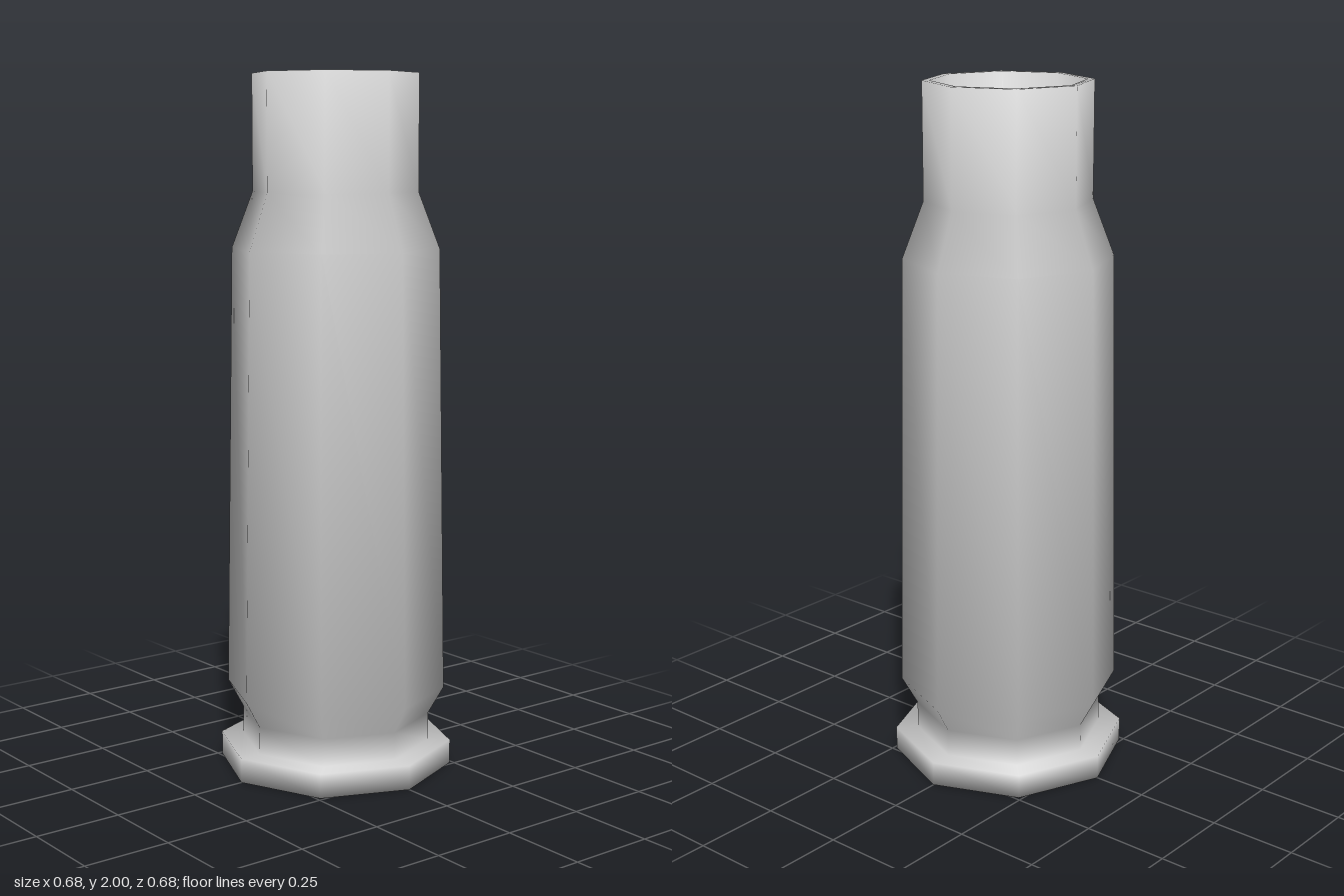
import * as THREE from 'three';

const SIDES = 8;

// Casing outline [radius, height]: base rim, groove, body, shoulder, neck, lip, bore
const PROFILE = [
  [0.34, 0], [0.34, 0.07], [0.275, 0.07], [0.275, 0.15], [0.32, 0.23],
  [0.298, 1.51], [0.237, 1.67], [0.237, 2], [0.217, 2], [0.217, 0.15],
].map(([r, y]) => new THREE.Vector2(r, y));

// Smooth normal of a ring, halfway between its two neighbouring bands
function ringNormal(i) {
  const p = PROFILE[i];
  const before = PROFILE[i - 1] ?? new THREE.Vector2(0, p.y);
  const after = PROFILE[i + 1] ?? new THREE.Vector2(0, p.y);
  const t = p.clone().sub(before).normalize().add(after.clone().sub(p).normalize()).normalize();
  return new THREE.Vector2(t.y, -t.x);
}

function casingGeometry() {
  const positions = [], normals = [], index = [];
  PROFILE.forEach((p, ring) => {
    const n = ringNormal(ring);
    for (let s = 0; s < SIDES; s++) {
      const a = (s / SIDES) * Math.PI * 2;
      const c = Math.cos(a), d = Math.sin(a);
      positions.push(p.x * c, p.y, p.x * d);
      normals.push(n.x * c, n.y, n.x * d);
    }
  });

  // Bands between rings
  const last = (PROFILE.length - 1) * SIDES;
  for (let base = 0; base < last; base += SIDES) {
    for (let s = 0; s < SIDES; s++) {
      const a = base + s, b = base + (s + 1) % SIDES;
      index.push(a, a + SIDES, b + SIDES, a, b + SIDES, b);
    }
  }

  // Flat underside and the floor of the bore
  for (let s = 1; s < SIDES - 1; s++) {
    index.push(0, s, s + 1);
    index.push(last, last + s + 1, last + s);
  }

  const geometry = new THREE.BufferGeometry();
  geometry.setAttribute('position', new THREE.Float32BufferAttribute(positions, 3));
  geometry.setAttribute('normal', new THREE.Float32BufferAttribute(normals, 3));
  geometry.setIndex(index);
  return geometry;
}

export function createModel() {
  const group = new THREE.Group();
  group.name = 'cartridgeCase';
  const casing = new THREE.Mesh(
    casingGeometry(),
    new THREE.MeshStandardMaterial({ color: 0xcccccc }),
  );
  casing.name = 'casing';
  group.add(casing);
  return group;
}
